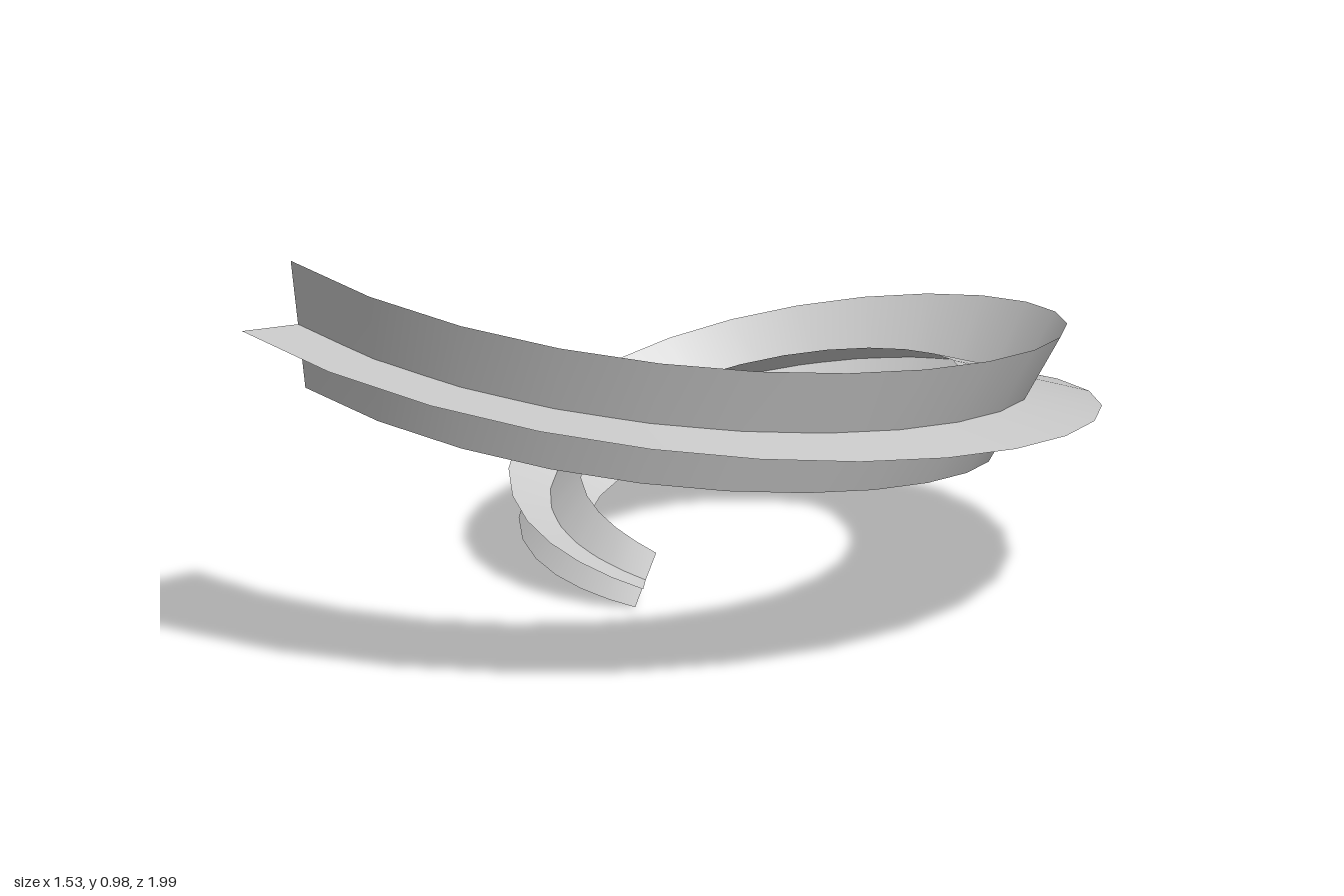
import * as THREE from 'three';

const SEGMENTS = 30;
const DEG = Math.PI / 180;

// Per key: height, half width, elevation of upright blade, elevation of flat blade (degrees)
const keys = new THREE.CubicInterpolant(
  [0, 0.29, 0.51, 0.74, 1],
  [
    0.064, 0.066, 0, -68,
    0.237, 0.124, 39, -38,
    0.411, 0.157, 53, -22,
    0.600, 0.170, 66, -9.5,
    0.820, 0.170, 77, 7,
  ], 4);

const profileAt = (t) => Array.from(keys.evaluate(t));

// Centre line: a widening, rising spiral
function centre(t) {
  const angle = (90 + 378 * t) * DEG;
  const radius = 0.195 + 0.888 * t;
  return new THREE.Vector3(
    -0.24 + radius * Math.cos(angle), profileAt(t)[0], -0.225 + radius * Math.sin(angle));
}

// A thin ribbon through the centre line, rolled to the given elevation column
function blade(name, column, material) {
  const positions = [], index = [];
  for (let i = 0; i <= SEGMENTS; i++) {
    const t = i / SEGMENTS, e = 0.002;
    const a = Math.max(0, t - e), b = Math.min(1, t + e);
    const tangent = centre(b).sub(centre(a)).normalize();
    const outward = new THREE.Vector3(-tangent.z, 0, tangent.x).normalize();
    if (outward.dot(centre(t).sub(new THREE.Vector3(-0.24, 0, -0.225))) < 0) outward.negate();
    const up = outward.clone().cross(tangent).normalize();
    if (up.y < 0) up.negate();

    const profile = profileAt(t), roll = profile[column] * DEG;
    const half = outward.multiplyScalar(Math.cos(roll))
      .addScaledVector(up, Math.sin(roll)).multiplyScalar(profile[1]);
    const p = centre(t);
    positions.push(...p.clone().sub(half).toArray(), ...p.clone().add(half).toArray());
    if (i < SEGMENTS) {
      const k = i * 2;
      index.push(k, k + 1, k + 2, k + 1, k + 3, k + 2);
    }
  }
  const geometry = new THREE.BufferGeometry();
  geometry.setAttribute('position', new THREE.Float32BufferAttribute(positions, 3));
  geometry.setIndex(index);
  geometry.computeVertexNormals();
  const mesh = new THREE.Mesh(geometry, material);
  mesh.name = name;
  return mesh;
}

export function createModel() {
  const group = new THREE.Group();
  group.name = 'spiralRibbon';
  const material = new THREE.MeshStandardMaterial({ color: 0xcccccc, side: THREE.DoubleSide });
  // Two crossing blades sweep along the same spiral
  group.add(blade('uprightBlade', 2, material), blade('flatBlade', 3, material));
  return group;
}
